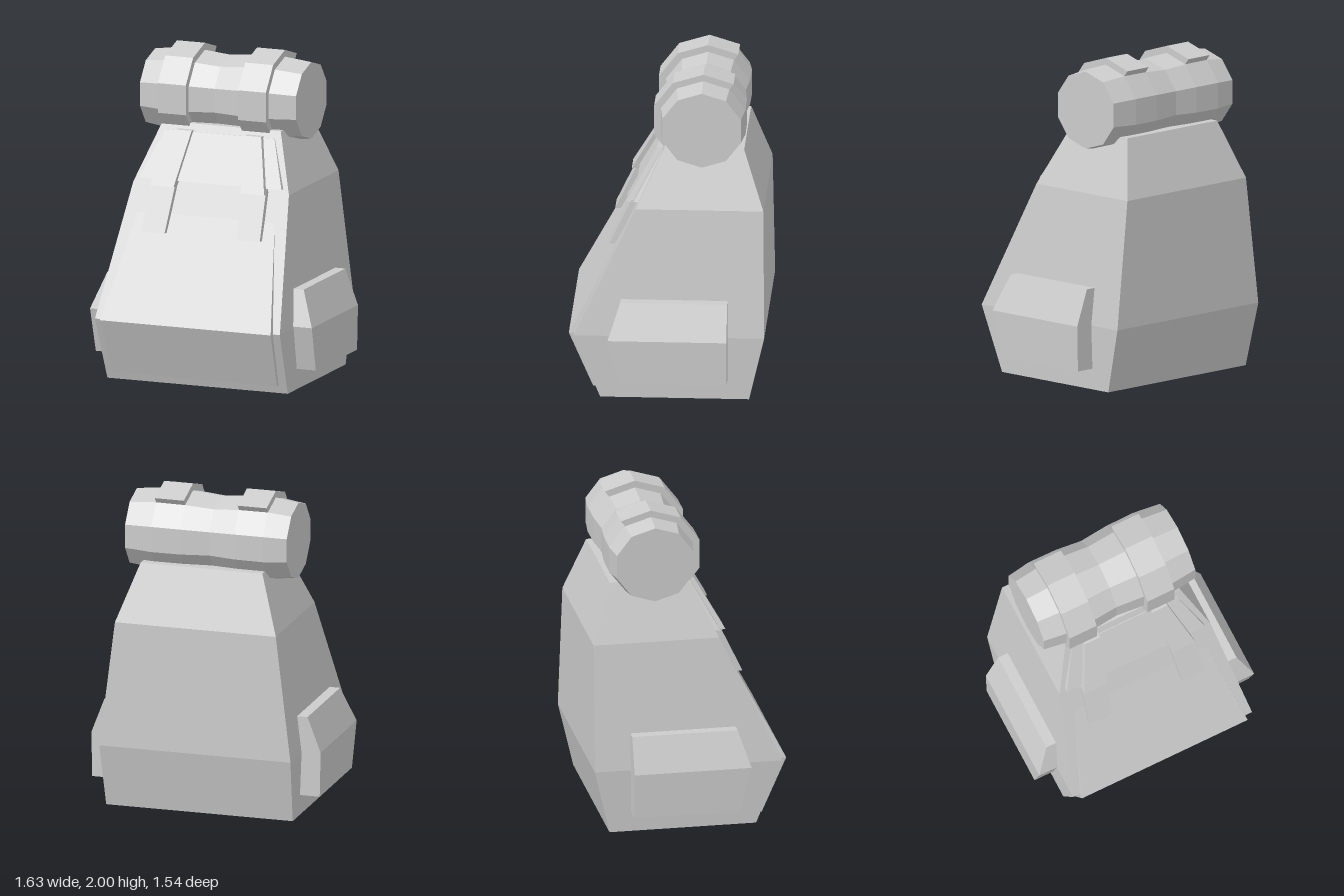
import * as THREE from 'three';

const material = new THREE.MeshStandardMaterial({ color: 0xcccccc, flatShading: true });

// Skin a closed solid over rings of [x, y, z]; each ring runs counter-clockwise about the loft direction
function loft(name, rings) {
  const pos = [];
  const tri = (...pts) => pts.forEach(p => pos.push(...p));
  const n = rings[0].length;
  for (let i = 0; i < rings.length - 1; i++) {
    for (let j = 0; j < n; j++) {
      const k = (j + 1) % n, a = rings[i], b = rings[i + 1];
      tri(a[j], a[k], b[k]);
      tri(a[j], b[k], b[j]);
    }
  }
  const first = rings[0], last = rings[rings.length - 1];
  for (let j = 1; j < n - 1; j++) {
    tri(first[0], first[j + 1], first[j]);
    tri(last[0], last[j], last[j + 1]);
  }
  const geometry = new THREE.BufferGeometry();
  geometry.setAttribute('position', new THREE.Float32BufferAttribute(pos, 3));
  geometry.computeVertexNormals();
  const mesh = new THREE.Mesh(geometry, material);
  mesh.name = name;
  return mesh;
}

// Horizontal rectangle at height y
const rect = (y, x0, x1, z0, z1) => [[x0, y, z1], [x1, y, z1], [x1, y, z0], [x0, y, z0]];

// Point on the bedroll's ten-sided section; angle step t starts at the top and turns to the front
const ROLL_Y = 1.7, ROLL_Z = -0.2;
const rollPoint = (x, r, t) => {
  const a = t * Math.PI / 5;
  return [x, ROLL_Y + 0.95 * r * Math.cos(a), ROLL_Z + r * Math.sin(a)];
};

// Depth of the straight sloping front above the widest level
const frontZ = y => 0.575 - (y - 0.4) * 0.473;

export function createModel() {
  const pack = new THREE.Group();
  pack.name = 'backpack';

  // Main bag: [height, half width, back z, front z]
  const bag = [
    [0, 0.597, -0.495, 0.415],
    [0.4, 0.612, -0.588, 0.575],
    [1.19, 0.515, -0.578, frontZ(1.19)],
    [1.545, 0.39, -0.454, frontZ(1.545)],
  ];
  pack.add(loft('bag', bag.map(([y, w, b, f]) => rect(y, -w, w, b, f))));

  // Front panel that sinks into the bag towards its top
  pack.add(loft('frontPanel', [
    rect(0.05, -0.545, 0.545, 0.3, 0.46),
    rect(0.4, -0.565, 0.565, 0.45, 0.608),
    rect(1.1, -0.44, 0.44, 0.1, 0.24),
  ]));

  // Lid flap
  pack.add(loft('lidFlap', [
    rect(1.22, -0.472, 0.472, 0.12, frontZ(1.22) + 0.03),
    rect(1.5, -0.36, 0.36, -0.02, frontZ(1.5) + 0.005),
  ]));

  // Side pockets
  for (const s of [-1, 1]) {
    const section = (y, x, front) =>
      rect(y, Math.min(s * 0.55, s * x), Math.max(s * 0.55, s * x), -0.364, front);
    pack.add(loft(s > 0 ? 'leftPocket' : 'rightPocket', [
      section(0.13, 0.728, 0.285), section(0.41, 0.734, 0.362), section(0.63, 0.65, 0.29),
    ]));
  }

  // Closing straps: an upper length over the flap, a lower length on the bag
  const strapSection = (y, x, halfWidth, lift) =>
    rect(y, x - halfWidth, x + halfWidth, frontZ(y) - 0.05, frontZ(y) + lift);
  for (const s of [-1, 1]) {
    const side = s > 0 ? 'left' : 'right';
    pack.add(loft(side + 'UpperStrap', [
      strapSection(1.19, s * 0.3, 0.078, 0.065), strapSection(1.51, s * 0.23, 0.052, 0.035),
    ]));
    pack.add(loft(side + 'LowerStrap', [
      strapSection(0.92, s * 0.315, 0.077, 0.04), strapSection(1.2, s * 0.3, 0.077, 0.04),
    ]));
  }

  // Bedroll: [x, radius], swelling under the straps and pinched in the middle
  const roll = [[-0.54, 0.25], [-0.395, 0.272], [-0.21, 0.27], [-0.045, 0.253],
    [0.135, 0.27], [0.32, 0.272], [0.494, 0.252]];
  pack.add(loft('bedroll', roll.map(([x, r]) =>
    Array.from({ length: 10 }, (_, t) => rollPoint(x, r, t)))));

  // Bedroll straps, wrapped from the upper back over the front
  for (const [name, x0, x1] of [['rightRollStrap', -0.395, -0.21], ['leftRollStrap', 0.135, 0.32]]) {
    const rings = [-1, 0, 1, 2, 3, 4].map(t => [
      rollPoint(x0, 0.24, t), rollPoint(x1, 0.24, t), rollPoint(x1, 0.316, t), rollPoint(x0, 0.316, t),
    ]);
    pack.add(loft(name, rings));
  }

  // The pack stands turned on the ground
  pack.rotation.y = -0.372;
  const model = new THREE.Group();
  model.name = 'model';
  model.add(pack);
  return model;
}
